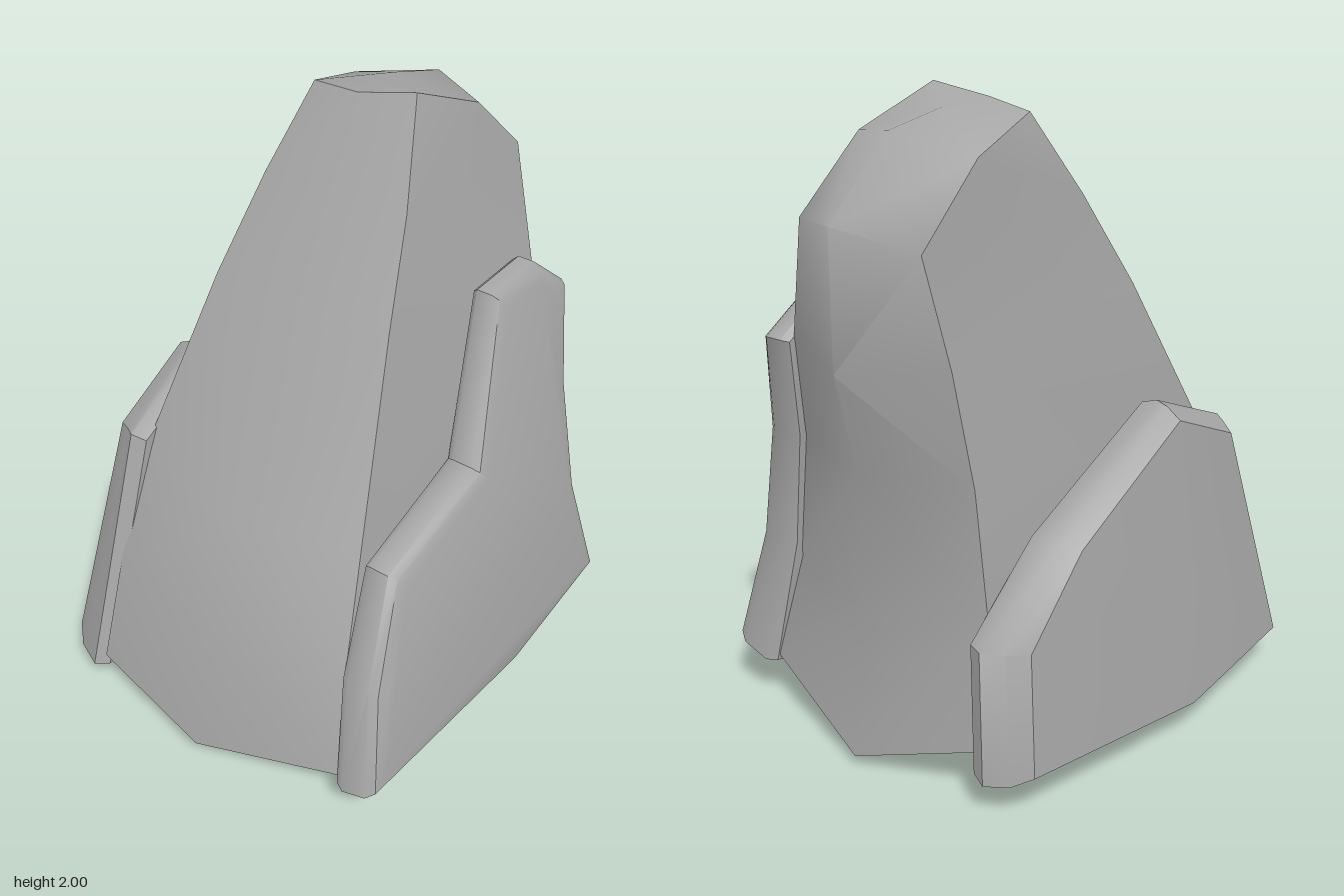
import * as THREE from 'three';
import { toCreasedNormals, mergeVertices } from 'three/addons/utils/BufferGeometryUtils.js';

const stone = new THREE.MeshStandardMaterial({ color: 0xa6a6a6 });
stone.name = 'grey stone';

function addRock(group, name, geometry, crease) {
  const mesh = new THREE.Mesh(toCreasedNormals(geometry, crease), stone);
  mesh.name = name;
  group.add(mesh);
}

// Skin of equal rings, closed with a fan at each end
function loft(rings, start, end) {
  const n = rings[0].length;
  const points = [...rings.flat(), start, end].map((p) => new THREE.Vector3(...p));
  const s = points.length - 2, e = points.length - 1;
  const last = (rings.length - 1) * n;
  const core = new THREE.Vector3();
  const reach = (i, j) => points[i].clone().lerp(points[j], 0.5).distanceTo(core);
  const index = [];
  for (let r = 0; r < last; r += n) {
    core.set(0, 0, 0);
    for (let k = r; k < r + 2 * n; k++) core.addScaledVector(points[k], 0.5 / n);
    for (let i = 0; i < n; i++) {
      const a = r + i, b = r + (i + 1) % n, c = b + n, d = a + n;
      // Fold each quad outward
      if (reach(a, c) > reach(b, d)) index.push(a, b, c, a, c, d);
      else index.push(a, b, d, b, c, d);
    }
  }
  for (let i = 0; i < n; i++) {
    const j = (i + 1) % n;
    index.push(s, j, i, e, last + i, last + j);
  }
  const g = new THREE.BufferGeometry().setFromPoints(points);
  g.setIndex(index);
  return g;
}

// Bevelled plate facing +z; inner(y) and outer(x, y) give the depth of its two faces
function slab(outline, bevel, inner, outer) {
  const shape = new THREE.Shape(outline.map(([x, y]) => new THREE.Vector2(x, y)));
  const g = new THREE.ExtrudeGeometry(shape, {
    depth: 0.5, bevelThickness: 0.25, bevelSize: bevel, bevelOffset: -bevel, bevelSegments: 2,
  });
  const p = g.attributes.position;
  for (let i = 0; i < p.count; i++) {
    const x = p.getX(i), y = p.getY(i), t = p.getZ(i) + 0.25;
    p.setZ(i, THREE.MathUtils.lerp(inner(y), outer(x, y), t));
    // The underside rises toward the outer face
    if (y < 0.25) p.setY(i, y - 0.06 * (1 - t));
  }
  g.deleteAttribute('uv');
  g.deleteAttribute('normal');
  return mergeVertices(g);
}

export function createModel() {
  const group = new THREE.Group();
  group.name = 'rock';

  // Leaning main boulder: left ridge, front pair, right ridge, back pair
  const rings = [
    [[-0.78, 0.07, 0], [-0.66, 0.15, 0.49], [0.59, 0.16, 0.5],
      [0.73, 0.03, 0], [0.62, 0.16, -0.43], [-0.72, 0.15, -0.44]],
    [[-0.68, 0.48, 0], [-0.55, 0.5, 0.43], [0.52, 0.5, 0.445],
      [0.66, 0.48, 0], [0.57, 0.55, -0.4], [-0.6, 0.5, -0.44]],
    [[-0.53, 0.82, 0], [-0.4, 0.8, 0.37], [0.54, 0.93, 0.375],
      [0.68, 0.93, 0], [0.56, 0.93, -0.345], [-0.43, 0.88, -0.44]],
    [[-0.18, 1.38, 0], [-0.12, 1.42, 0.265], [0.62, 1.28, 0.315],
      [0.77, 1.25, -0.01], [0.61, 1.28, -0.31], [-0.14, 1.4, -0.365]],
    [[0, 1.68, -0.03], [0.05, 1.71, 0.2], [0.7, 1.66, 0.18],
      [0.77, 1.67, -0.01], [0.67, 1.61, -0.26], [0.04, 1.69, -0.31]],
    [[0.18, 1.965, -0.07], [0.22, 2, 0.11], [0.48, 1.88, 0.16],
      [0.55, 1.905, -0.03], [0.48, 1.85, -0.295], [0.21, 1.94, -0.25]],
  ];
  addRock(group, 'mainBoulder', loft(rings, [0, 0, 0], [0.37, 1.955, -0.07]), 0.85);

  // Front slab with a tall horn on one side
  const frontOutline = [
    [-0.69, 0.17], [0.1, 0.12], [0.62, 0.18], [0.56, 0.55], [0.58, 0.93], [0.65, 1.26],
    [0.51, 1.385], [0.27, 1.385], [0.05, 0.9], [-0.41, 0.8], [-0.59, 0.49],
  ];
  addRock(group, 'frontSlab', slab(frontOutline, 0.052,
    (y) => 0.5 - 0.15 * y,
    (x, y) => 0.7 - 0.222 * y + 0.025 * x), 0.65);

  // Back slab, low and bowed, chamfered outward and turned to face the rear
  const backOutline = [
    [-0.69, 0.1], [0.1, 0.07], [0.74, 0.1], [0.47, 0.92], [0.11, 1.06], [-0.4, 0.76], [-0.66, 0.5],
  ];
  const face = (x, y) => 0.69 - 0.105 * y - 0.1 * Math.abs(x - 0.1);
  const heel = (x, y) => 0.39 + 0.09 * Math.abs(y - 0.55);
  const backRing = (scaleX, scaleY, depth) => backOutline.map(([px, py]) => {
    const x = px * scaleX, y = 0.54 + (py - 0.54) * scaleY;
    return [x, y, depth(x, y)];
  });
  const backRings = [
    backRing(0.97, 0.97, heel),
    backRing(1, 1, (x, y) => heel(x, y) + 0.05),
    backRing(0.95, 0.98, (x, y) => face(x, y) - 0.05),
    backRing(0.88, 0.92, face),
  ];
  addRock(group, 'backSlab',
    loft(backRings, [0, 0.54, 0.39], [0.1, 0.54, face(0.1, 0.54)]).rotateY(Math.PI), 0.65);

  return group;
}
